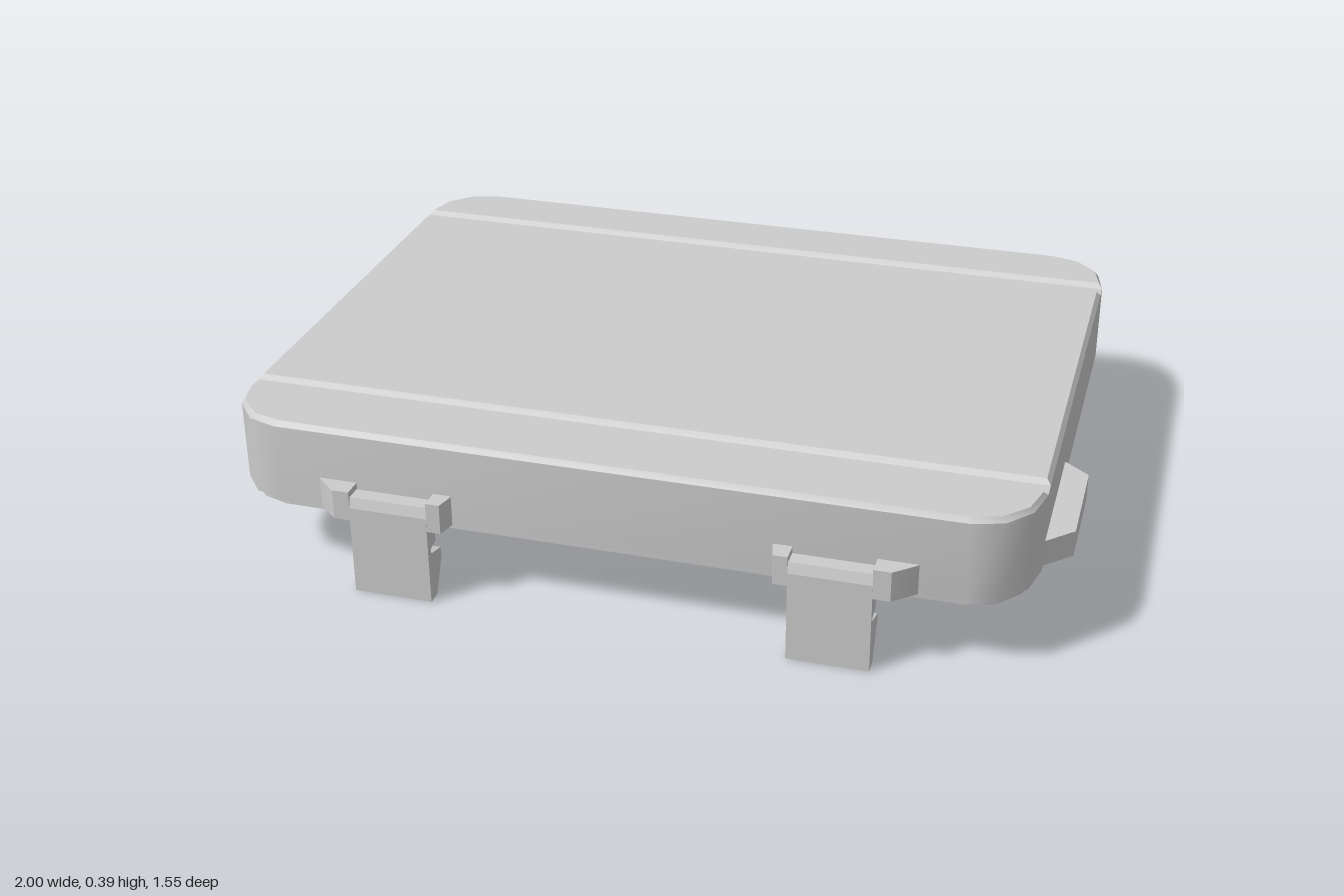
import * as THREE from 'three';
import { toCreasedNormals, mergeGeometries } from 'three/addons/utils/BufferGeometryUtils.js';

const material = new THREE.MeshStandardMaterial({ color: 0xcccccc });
const CZ = 0.007, HX = 0.94, HZ = 0.72;

// Rounded rectangle in plan as [x, z] points
function roundedRect(hx, hz, rx, rz = rx, cx = 0, cz = CZ) {
  const pts = [], seg = 3;
  [[1, 1], [-1, 1], [-1, -1], [1, -1]].forEach(([sx, sz], q) => {
    for (let i = 0; i <= seg; i++) {
      const a = (q + i / seg) * Math.PI / 2;
      pts.push([cx + sx * (hx - rx) + rx * Math.cos(a), cz + sz * (hz - rz) + rz * Math.sin(a)]);
    }
  });
  return pts;
}

const toShape = pts => new THREE.Shape(pts.map(([x, z]) => new THREE.Vector2(x, -z)));

// Upright solid prism from a plan outline
function prism(pts, y0, y1) {
  const g = new THREE.ExtrudeGeometry(toShape(pts), { depth: y1 - y0, bevelEnabled: false });
  return toCreasedNormals(g.rotateX(-Math.PI / 2).translate(0, y0, 0), 0.6);
}

// Vertical wall along a closed outline, facing outward or inward
function wall(pts, y0, y1, inward = false) {
  const pos = [], index = [], n = pts.length;
  for (const [x, z] of pts) pos.push(x, y0, z, x, y1, z);
  for (let i = 0; i < n; i++) {
    const a = 2 * i, b = 2 * ((i + 1) % n);
    if (inward) index.push(a, b, a + 1, b, b + 1, a + 1);
    else index.push(a, a + 1, b, b, a + 1, b + 1);
  }
  const g = new THREE.BufferGeometry();
  g.setAttribute('position', new THREE.Float32BufferAttribute(pos, 3));
  g.setIndex(index);
  return toCreasedNormals(g, 0.6);
}

// Level face at height y, facing up or down, with an optional hole
function level(pts, y, up, hole) {
  const shape = toShape(pts);
  if (hole) shape.holes.push(toShape(hole));
  const g = new THREE.ShapeGeometry(shape).rotateX(-Math.PI / 2);
  if (!up) {
    g.setIndex(Array.from(g.index.array).reverse());
    g.computeVertexNormals();
  }
  return g.translate(0, y, 0);
}

// Prism whose upper outline is pulled in all round
function chamfered(pts, y0, y1, inset) {
  const g = prism(pts, y0, y1), p = g.attributes.position;
  const zs = pts.map(q => q[1]), lo = Math.min(...zs), hi = Math.max(...zs);
  const mid = (lo + hi) / 2, kx = 1 - inset / HX, kz = 1 - 2 * inset / (hi - lo);
  for (let i = 0; i < p.count; i++) {
    if (p.getY(i) > (y0 + y1) / 2) p.setXYZ(i, p.getX(i) * kx, y1, mid + (p.getZ(i) - mid) * kz);
  }
  return toCreasedNormals(g, 0.6);
}

// Side profile of [z, y] points swept across x
function sweepX(pts, x0, x1) {
  const shape = new THREE.Shape(pts.map(p => new THREE.Vector2(...p)));
  const g = new THREE.ExtrudeGeometry(shape, { depth: x1 - x0, bevelEnabled: false });
  return g.rotateY(-Math.PI / 2).translate(x1, 0, 0);
}

function box(x0, x1, y0, y1, z0, z1) {
  return new THREE.BoxGeometry(x1 - x0, y1 - y0, z1 - z0)
    .translate((x0 + x1) / 2, (y0 + y1) / 2, (z0 + z1) / 2);
}

export function createModel() {
  const model = new THREE.Group();
  const add = (name, geometry, parent = model) => {
    const mesh = new THREE.Mesh(geometry, material);
    mesh.name = name;
    parent.add(mesh);
  };

  // Hollow lid: outer wall, lip, cavity, inner ledge and a deeper pocket
  const outer = roundedRect(HX, HZ, 0.14, 0.165);
  const lip = roundedRect(HX - 0.015, HZ - 0.015, 0.13, 0.155);
  const cavity = roundedRect(0.85, 0.63, 0.1);
  const pocket = roundedRect(0.68, 0.4, 0.03, 0.03, -0.02, -0.18);
  add('sideWall', wall(outer, 0.187, 0.378));
  add('rimStep', level(outer, 0.187, false, lip));
  add('lipWall', wall(lip, 0.167, 0.187));
  add('lipEdge', level(lip, 0.167, false, cavity));
  add('cavityWall', wall(cavity, 0.167, 0.28, true));
  add('innerLedge', level(cavity, 0.28, false, pocket));
  add('pocketWall', wall(pocket, 0.28, 0.368, true));
  add('pocketFloor', level(pocket, 0.368, false));
  add('topPlate', level(outer, 0.378, true));

  // Raised top panels, separated by two grooves across the lid
  for (const s of [-1, 1]) {
    const end = outer.filter(([, z]) => s * (z - CZ) > HZ - 0.166);
    add('topEndPanel', chamfered(end, 0.378, 0.39, 0.01));
  }
  const middle = [[-HX, -0.51], [-HX, 0.52], [HX, 0.52], [HX, -0.51]];
  add('topMiddlePanel', chamfered(middle, 0.378, 0.39, 0.01));

  // Ribs and strap under the lid
  for (const x of [0.5, 0.28]) add('innerRib', box(x - 0.012, x + 0.012, 0.26, 0.29, -0.56, 0.21));
  add('innerStrap', box(-0.4, -0.2, 0.274, 0.282, -0.52, 0.34));

  const latchProfile = [[0.775, 0], [0.775, 0.22], [0.767, 0.245], [0.73, 0.245], [0.73, 0.138],
    [0.76, 0.132], [0.757, 0.12], [0.705, 0.107], [0.7, 0.085], [0.74, 0]];

  for (const s of [-1, 1]) {
    const side = s > 0 ? 'left' : 'right';
    const plan = (pts, y0, y1) => prism(pts.map(([x, z]) => [s * x, z]), y0, y1);

    // Front latch between two bracket ears
    const latch = new THREE.Group();
    latch.name = side + 'Latch';
    add('latchTongue', sweepX(latchProfile, s * 0.512 - 0.094, s * 0.512 + 0.094), latch);
    add('outerEar', plan([[0.605, 0.715], [0.7, 0.715], [0.695, 0.73], [0.645, 0.774], [0.605, 0.774]], 0.187, 0.26), latch);
    add('innerEar', plan([[0.375, 0.715], [0.375, 0.735], [0.385, 0.774], [0.418, 0.774], [0.418, 0.715]], 0.187, 0.26), latch);
    model.add(latch);

    // Back hinge plate with two knuckles
    const hinge = new THREE.Group();
    hinge.name = side + 'Hinge';
    const c = s * 0.46;
    add('hingePlate', box(c - 0.178, c + 0.178, 0.167, 0.27, -0.723, -0.705), hinge);
    for (const x of [c - 0.14, c + 0.14]) {
      const knuckle = new THREE.CylinderGeometry(0.026, 0.026, 0.08, 20).rotateZ(Math.PI / 2);
      knuckle.translate(x, 0.175, -0.747);
      const arm = box(x - 0.04, x + 0.04, 0.167, 0.195, -0.745, -0.71);
      add('hingeKnuckle', mergeGeometries([knuckle, arm]), hinge);
    }
    model.add(hinge);

    // Side grip with tapered ends
    add(side + 'Grip', plan([[0.92, 0.17], [0.94, 0.17], [1, 0.22], [1, 0.48], [0.94, 0.54], [0.92, 0.54]], 0.187, 0.25));
  }
  return model;
}
